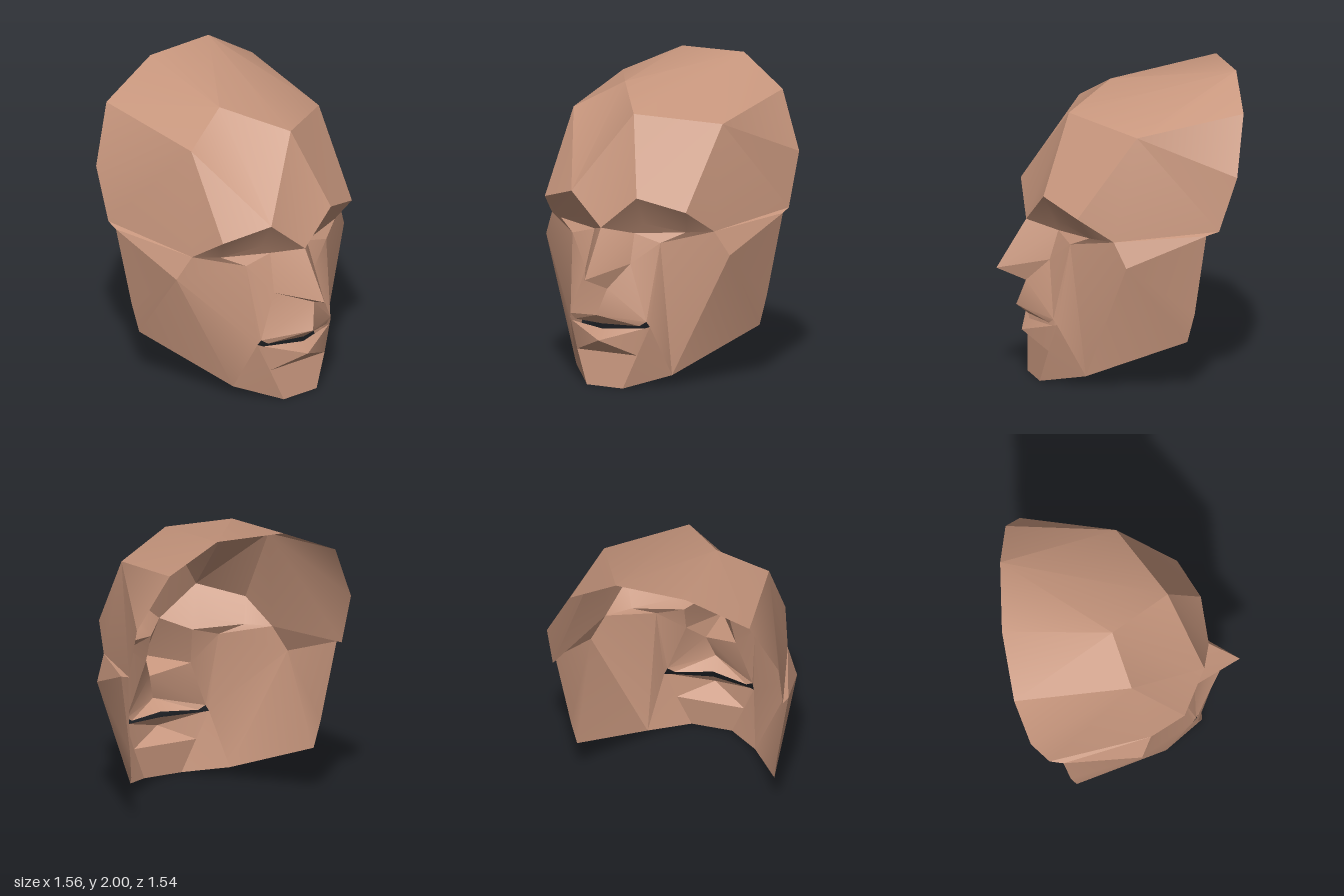
import * as THREE from 'three';
import { toCreasedNormals } from 'three/addons/utils/BufferGeometryUtils.js';

// points on the middle line (or crossing it)
const middle = {
  bridge: [0, 1.05, 0.57], noseTip: [0, 0.74, 0.77], noseBase: [0.06, 0.66, 0.59],
  lipTop: [0.01, 0.49, 0.64], lipUnder: [0, 0.42, 0.555],
  lowLipTop: [0, 0.385, 0.55], lowLip: [0, 0.315, 0.6],
  foreTop: [0.09, 1.76, 0.31], crown: [-0.2, 1.88, -0.06],
};
// points of the left half (+x)
const half = {
  top: [0.27, 2, -0.76], topSide: [0.59, 1.8, -0.71], rim: [0.775, 1.43, -0.61],
  rimLow: [0.77, 1.08, -0.49], temple: [0.57, 1.69, 0], brow: [0.245, 1.26, 0.53],
  browEnd: [0.53, 1.17, 0.39], eyeEnd: [0.61, 1.02, 0.17], eyeTop: [0.22, 1.07, 0.4],
  eyeMid: [0.47, 1.02, 0.29], eyeIn: [0.15, 1.0, 0.4], cheek: [0.33, 0.95, 0.376],
  nostril: [0.155, 0.81, 0.46], bone: [0.69, 0.86, 0.11], ear: [0.78, 1.06, -0.4],
  jawBack: [0.69, 0.52, -0.35], jaw: [0.66, 0.33, -0.31], jawFront: [0.36, 0.07, 0.28],
  mouthTop: [0.285, 0.445, 0.475], mouth: [0.3, 0.41, 0.455], lipEnd: [0.24, 0.415, 0.49],
  lowLipEnd: [0.27, 0.4, 0.48], crease: [0.225, 0.22, 0.49], chin: [0.135, 0, 0.52],
};
// points of the right half that break the symmetry
const rightOnly = {
  top: [-0.2, 1.99, -0.77], topSide: [-0.61, 1.8, -0.71], temple: [-0.52, 1.7, 0.05],
  nostril: [-0.175, 0.75, 0.47],
};

function point(name, side) {
  if (middle[name]) return middle[name];
  if (side > 0) return half[name];
  const [x, y, z] = half[name];
  return rightOnly[name] || [-x, y, z];
}

// fan of triangles for each named polygon, all turned outwards
function panel(name, material, left, right = left) {
  const positions = [];
  const inside = new THREE.Vector3(0, 0.8, -0.8);
  for (const [side, list] of [[1, left], [-1, right]]) {
    for (const polygon of list) {
      const corners = polygon.split(' ').map((n) => (
        n.endsWith('*') ? point(n.slice(0, -1), -side) : point(n, side)));
      for (let i = 1; i < corners.length - 1; i++) {
        const [a, b, c] = [corners[0], corners[i], corners[i + 1]]
          .map((p) => new THREE.Vector3(...p));
        const normal = b.clone().sub(a).cross(c.clone().sub(a));
        const outward = a.clone().add(b).add(c).divideScalar(3).sub(inside);
        const order = normal.dot(outward) > 0 ? [a, b, c] : [a, c, b];
        for (const p of order) positions.push(p.x, p.y, p.z);
      }
    }
  }
  const geometry = new THREE.BufferGeometry();
  geometry.setAttribute('position', new THREE.Float32BufferAttribute(positions, 3));
  const mesh = new THREE.Mesh(toCreasedNormals(geometry, 0.4), material);
  mesh.name = name;
  return mesh;
}

export function createModel() {
  const skin = new THREE.MeshStandardMaterial({ color: 0xc7967d, side: THREE.DoubleSide });
  skin.name = 'skin';
  const group = new THREE.Group();
  group.name = 'faceMask';

  // forehead, crown and temples; a star marks a point on the other half
  const templeSide = [
    'temple topSide rim', 'temple rim rimLow', 'temple rimLow eyeEnd',
    'rimLow ear eyeEnd', 'temple eyeEnd browEnd', 'temple browEnd brow',
  ];
  group.add(panel('forehead', skin,
    [...templeSide, 'foreTop brow temple', 'foreTop bridge brow', 'foreTop top temple',
      'top topSide temple', 'crown top foreTop', 'crown top* top'],
    [...templeSide, 'crown temple brow', 'crown brow foreTop', 'foreTop brow bridge',
      'crown topSide temple', 'crown top topSide']));

  // eye sockets under the brows
  group.add(panel('eyeSockets', skin, [
    'brow bridge eyeIn', 'brow eyeIn eyeTop', 'brow eyeTop eyeMid', 'brow eyeMid browEnd',
    'browEnd eyeMid eyeEnd', 'eyeTop eyeIn eyeMid', 'eyeIn cheek eyeMid', 'eyeMid cheek eyeEnd',
  ]));

  // nose
  group.add(panel('nose', skin, [
    'bridge noseTip eyeIn', 'eyeIn noseTip nostril', 'noseTip noseBase nostril',
  ]));

  // cheeks and jaw sides
  const cheekSide = [
    'eyeIn nostril cheek', 'cheek nostril mouthTop', 'cheek mouthTop mouth',
    'cheek bone eyeEnd', 'eyeEnd bone ear', 'bone jaw jawBack ear', 'bone jawFront jaw',
  ];
  group.add(panel('cheeks', skin,
    [...cheekSide, 'cheek mouth jawFront', 'cheek jawFront bone'],
    [...cheekSide, 'cheek mouth bone', 'mouth jawFront bone']));

  // lips around the open mouth
  group.add(panel('upperLip', skin, [
    'nostril noseBase mouthTop', 'noseBase lipTop mouthTop',
    'lipTop lipEnd mouthTop', 'lipTop lipUnder lipEnd',
  ]));
  group.add(panel('lowerLip', skin, [
    'lowLipTop lowLip lowLipEnd', 'lowLipEnd lowLip crease', 'lowLipEnd crease mouth',
  ]));

  // chin
  group.add(panel('chin', skin,
    ['mouth crease jawFront', 'crease chin jawFront', 'lowLip crease* crease',
      'crease crease* chin* chin'],
    ['mouth crease jawFront', 'crease chin jawFront']));

  return group;
}
